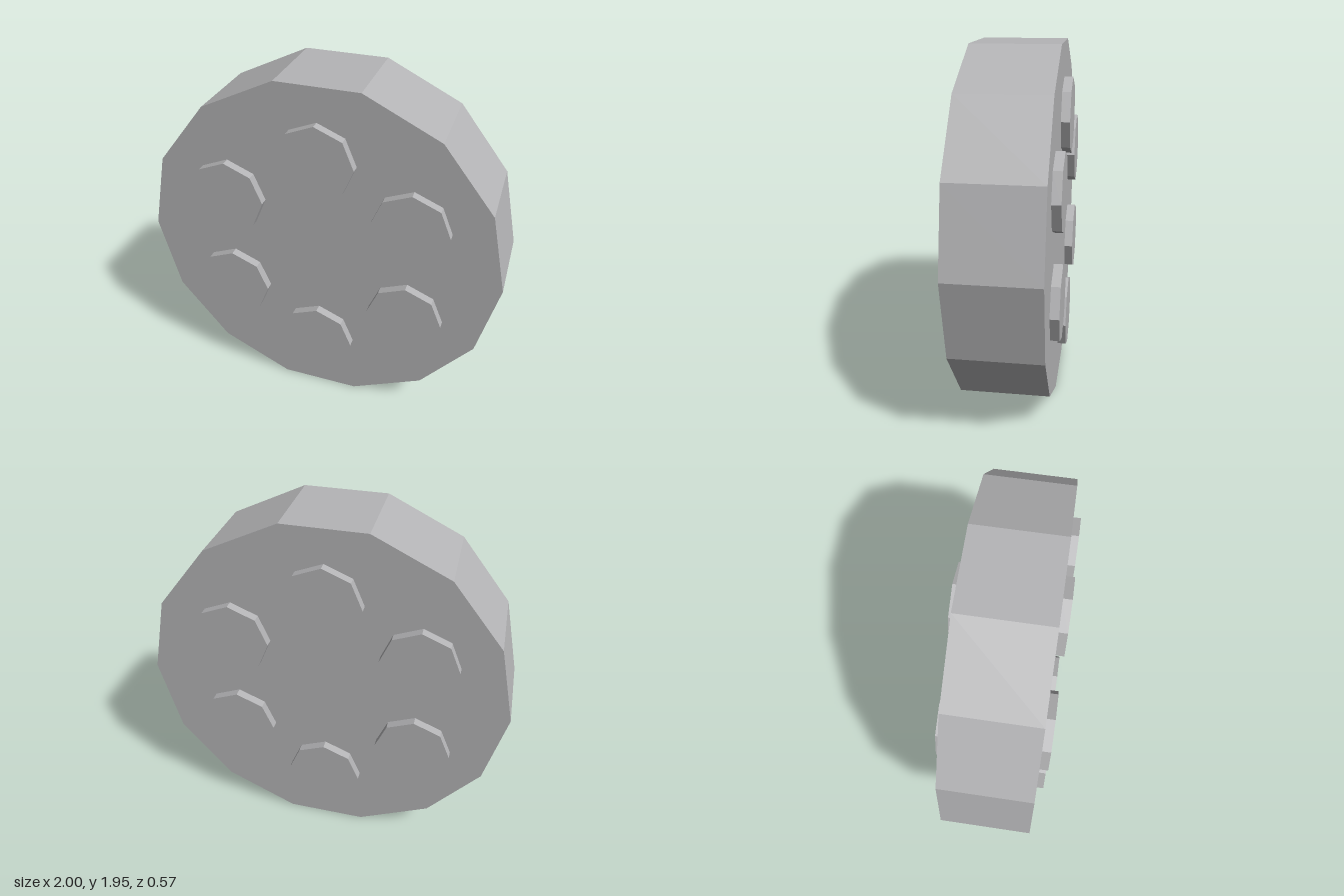
import * as THREE from 'three';

const RADIUS = 1;
const CENTRE_Y = Math.cos(Math.PI / 14); // the disc rests on a flat side
const HALF_DEPTH = 0.236;
const STUD_HEIGHT = 0.048;

const grey = new THREE.MeshStandardMaterial({ color: 0xb4b4b6, flatShading: true });
grey.name = 'grey';

// Prism along z with a corner pointing to +x
function prism(name, radius, depth, sides) {
  const geometry = new THREE.CylinderGeometry(radius, radius, depth, sides, 1, false, Math.PI / 2);
  geometry.rotateX(Math.PI / 2);
  const mesh = new THREE.Mesh(geometry, grey);
  mesh.name = name;
  return mesh;
}

export function createModel() {
  const model = new THREE.Group();
  model.name = 'studdedWheel';

  // Fourteen-sided disc
  const disc = prism('disc', RADIUS, HALF_DEPTH * 2, 14);
  disc.position.y = CENTRE_Y;
  model.add(disc);

  // Ring of six octagonal studs on each face
  for (const side of [1, -1]) {
    const ring = new THREE.Group();
    ring.name = side > 0 ? 'frontStuds' : 'backStuds';
    ring.position.set(0, CENTRE_Y, side * (HALF_DEPTH + STUD_HEIGHT / 2));
    for (let i = 0; i < 6; i++) {
      const angle = Math.PI / 2 + (i * Math.PI) / 3;
      const stud = prism('stud', 0.208, STUD_HEIGHT, 8);
      stud.position.set(0.583 * Math.cos(angle), 0.583 * Math.sin(angle), 0);
      ring.add(stud);
    }
    model.add(ring);
  }
  return model;
}
